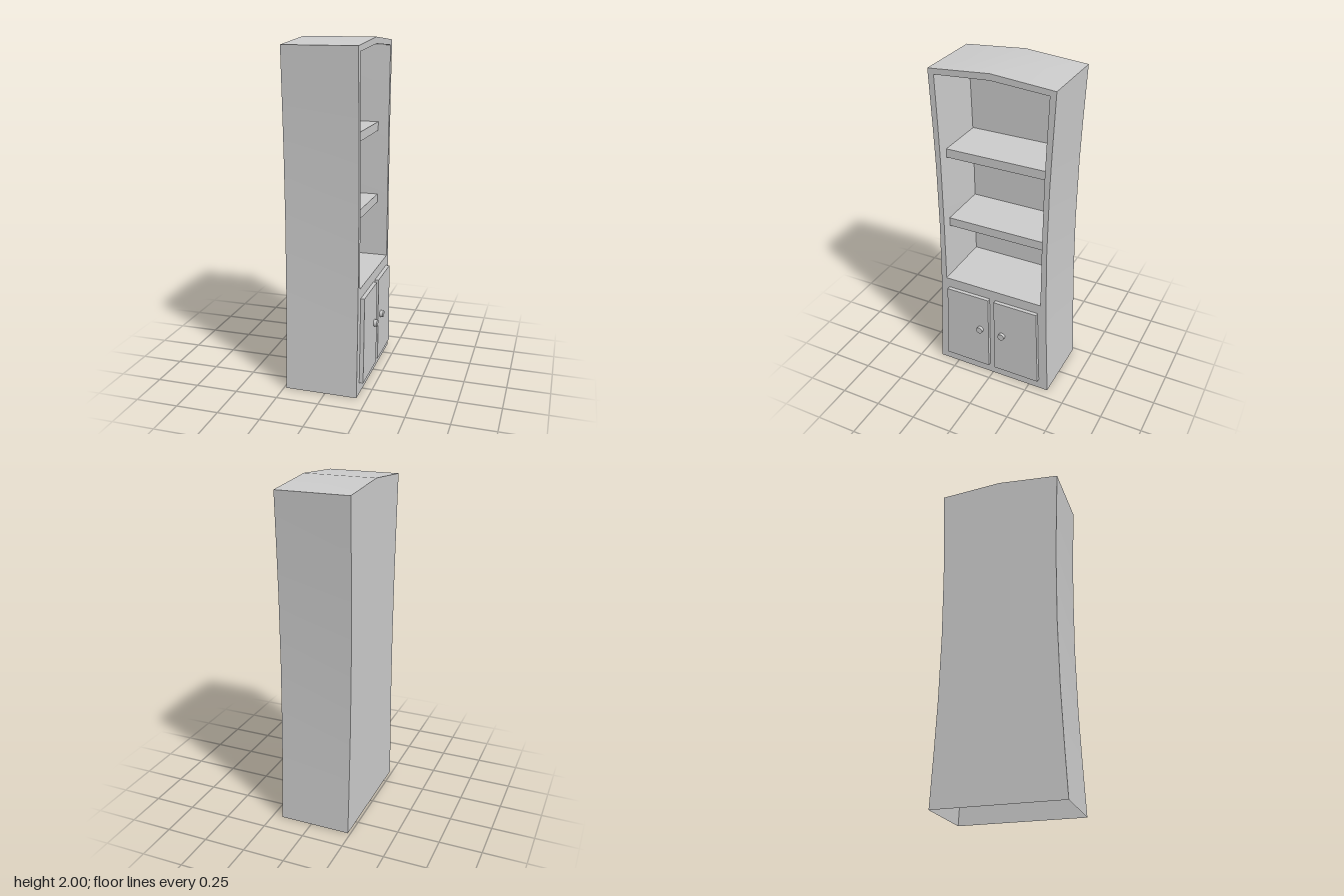
import * as THREE from 'three';
import { toCreasedNormals } from 'three/addons/utils/BufferGeometryUtils.js';

const BACK = -0.235, FRONT = 0.19, INNER_BACK = -0.19;

// Half profiles as [half width, height], bottom to top; the last point is the apex
const outerHalf = [[0.375, 0], [0.361, 0.3], [0.349, 0.6], [0.342, 1], [0.346, 1.4], [0.354, 1.65], [0.367, 1.97], [0, 2]];
const innerHalf = [[0.313, 0.64], [0.312, 1], [0.315, 1.43], [0.321, 1.65], [0.331, 1.94], [0, 1.963]];

// Mirror a half profile into a counterclockwise outline
function mirrorProfile(half) {
  const right = half.map(([x, y]) => new THREE.Vector2(x, y));
  const left = half.slice(0, -1).reverse().map(([x, y]) => new THREE.Vector2(-x, y));
  return [...right, ...left];
}

// Sheet that sweeps a polyline straight from depth w0 to w1
function sweepSheet(points, w0, w1) {
  const pos = [];
  for (let i = 0; i < points.length - 1; i++) {
    const p = points[i], q = points[i + 1];
    pos.push(p.x, p.y, w0, q.x, q.y, w0, q.x, q.y, w1);
    pos.push(p.x, p.y, w0, q.x, q.y, w1, p.x, p.y, w1);
  }
  const geo = new THREE.BufferGeometry();
  geo.setAttribute('position', new THREE.Float32BufferAttribute(pos, 3));
  return toCreasedNormals(geo, Math.PI / 6);
}

export function createModel() {
  const model = new THREE.Group();
  model.name = 'cabinet';
  const material = new THREE.MeshStandardMaterial({ color: 0xcccccc, side: THREE.DoubleSide });

  // Built facing +z, then turned so the doors face +x
  const body = new THREE.Group();
  body.name = 'cabinetBody';
  body.rotation.y = Math.PI / 2;
  model.add(body);

  const add = (name, geo, x = 0, y = 0, z = 0) => {
    const mesh = new THREE.Mesh(geo, material);
    mesh.name = name;
    mesh.position.set(x, y, z);
    body.add(mesh);
    return mesh;
  };

  const outer = mirrorProfile(outerHalf);
  const inner = mirrorProfile(innerHalf);

  // Outer shell, open at the bottom
  add('sidesAndRoof', sweepSheet(outer, BACK, FRONT));
  add('backPanel', new THREE.ShapeGeometry(new THREE.Shape(outer)), 0, 0, BACK).rotation.y = Math.PI;

  // Front frame around the shelf opening
  const frame = new THREE.Shape(outer);
  frame.holes.push(new THREE.Path(inner));
  add('frontFrame', new THREE.ShapeGeometry(frame), 0, 0, FRONT);

  // Lining of the shelf recess
  add('recessLining', sweepSheet([...inner, inner[0]].reverse(), INNER_BACK, FRONT));
  add('recessBack', new THREE.ShapeGeometry(new THREE.Shape(inner)), 0, 0, INNER_BACK);

  // Shelves, set back from the front
  const shelfFront = 0.125, shelfDepth = shelfFront - INNER_BACK;
  for (const y of [1.007, 1.458]) {
    add('shelf', new THREE.BoxGeometry(0.627, 0.053, shelfDepth), 0, y, INNER_BACK + shelfDepth / 2);
  }

  // Pair of tapered doors with round knobs
  for (const s of [1, -1]) {
    const door = new THREE.Shape([[0.019, 0.067], [0.317, 0.067], [0.306, 0.3], [0.297, 0.578], [0.019, 0.578]]
      .map(([x, y]) => new THREE.Vector2(s * x, y)));
    add('door', new THREE.ExtrudeGeometry(door, { depth: 0.023, bevelEnabled: false }), 0, 0, FRONT);
    const knob = new THREE.CylinderGeometry(0.021, 0.021, 0.02, 24).rotateX(Math.PI / 2);
    add('knob', knob, s * 0.074, 0.343, 0.223);
  }
  return model;
}
